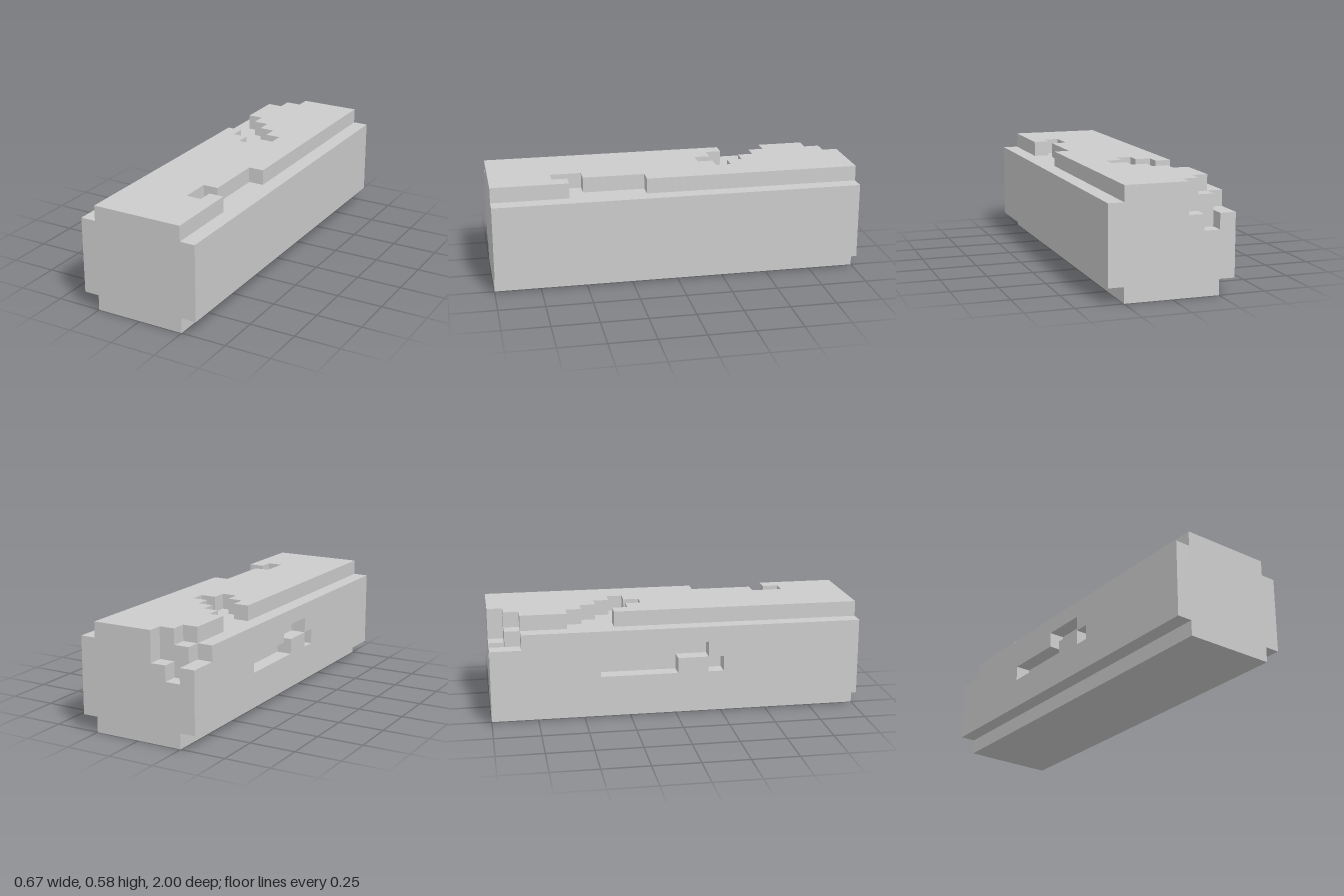
import * as THREE from 'three';

const U = 1 / 12; // one block
const material = new THREE.MeshStandardMaterial({ color: 0xcccccc, flatShading: true });

function part(name, geometry) {
  const mesh = new THREE.Mesh(geometry.scale(U, U, U), material);
  mesh.name = name;
  return mesh;
}

// Box given by its extents in blocks
function block(name, x0, x1, y0, y1, z0, z1) {
  const g = new THREE.BoxGeometry(x1 - x0, y1 - y0, z1 - z0);
  return part(name, g.translate((x0 + x1) / 2, (y0 + y1) / 2, (z0 + z1) / 2));
}

// One-block-thick slab from an outline
function slab(points) {
  const shape = new THREE.Shape(points.map(([a, b]) => new THREE.Vector2(a, b)));
  return new THREE.ExtrudeGeometry(shape, { depth: 1, bevelEnabled: false });
}

// Outline in (z, y), filling x from -4 to -3
function sidePanel(name, points) {
  return part(name, slab(points).rotateY(-Math.PI / 2).translate(-3, 0, 0));
}

export function createModel() {
  const log = new THREE.Group();
  log.name = 'log';

  // Narrow underside and main core
  log.add(block('underside', -3, 3, 0, 1, -12, 12));
  log.add(block('core', -3, 4, 1, 6, -11, 12));

  // Rear end slice with the stepped broken corner
  const rear = [[-3, 1], [4, 1], [4, 6], [-1, 6], [-1, 5], [-2, 5], [-2, 4], [-3, 4]];
  log.add(part('rearEnd', slab(rear).translate(0, 0, -12)));

  // Right side bark, split where its two recesses meet corner to corner
  log.add(sidePanel('rightBarkRear', [
    [-12, 1], [2, 1], [2, 4], [0, 4], [0, 3], [-5, 3], [-5, 4],
    [-1, 4], [-1, 5], [2, 5], [2, 6], [-10, 6], [-10, 5], [-12, 5],
  ]));
  log.add(sidePanel('rightBarkFront', [
    [2, 1], [12, 1], [12, 6], [2, 6], [2, 4], [3, 4], [3, 3], [2, 3],
  ]));

  // Top bark, outline in (x, z) with jagged cracks on both edges
  const top = [
    [-1, -12], [3, -12],
    // left crack
    [3, 2], [2, 2], [2, 6], [1, 6], [1, 8], [2, 8], [2, 7], [3, 7],
    [3, 12], [-3, 12],
    // right crack
    [-3, -4], [-2, -4], [-2, -3], [-1, -3], [-1, -2], [0, -2], [0, -3], [1, -3],
    [1, -4], [0, -4], [0, -5], [-1, -5], [-1, -6], [-2, -6], [-2, -7], [-3, -7],
    // broken rear corner
    [-3, -10], [-2, -10], [-2, -11], [-1, -11],
  ];
  const topGeometry = slab(top.map(([x, z]) => [x, -z]));
  log.add(part('topBark', topGeometry.rotateX(-Math.PI / 2).translate(0, 6, 0)));

  return log;
}
